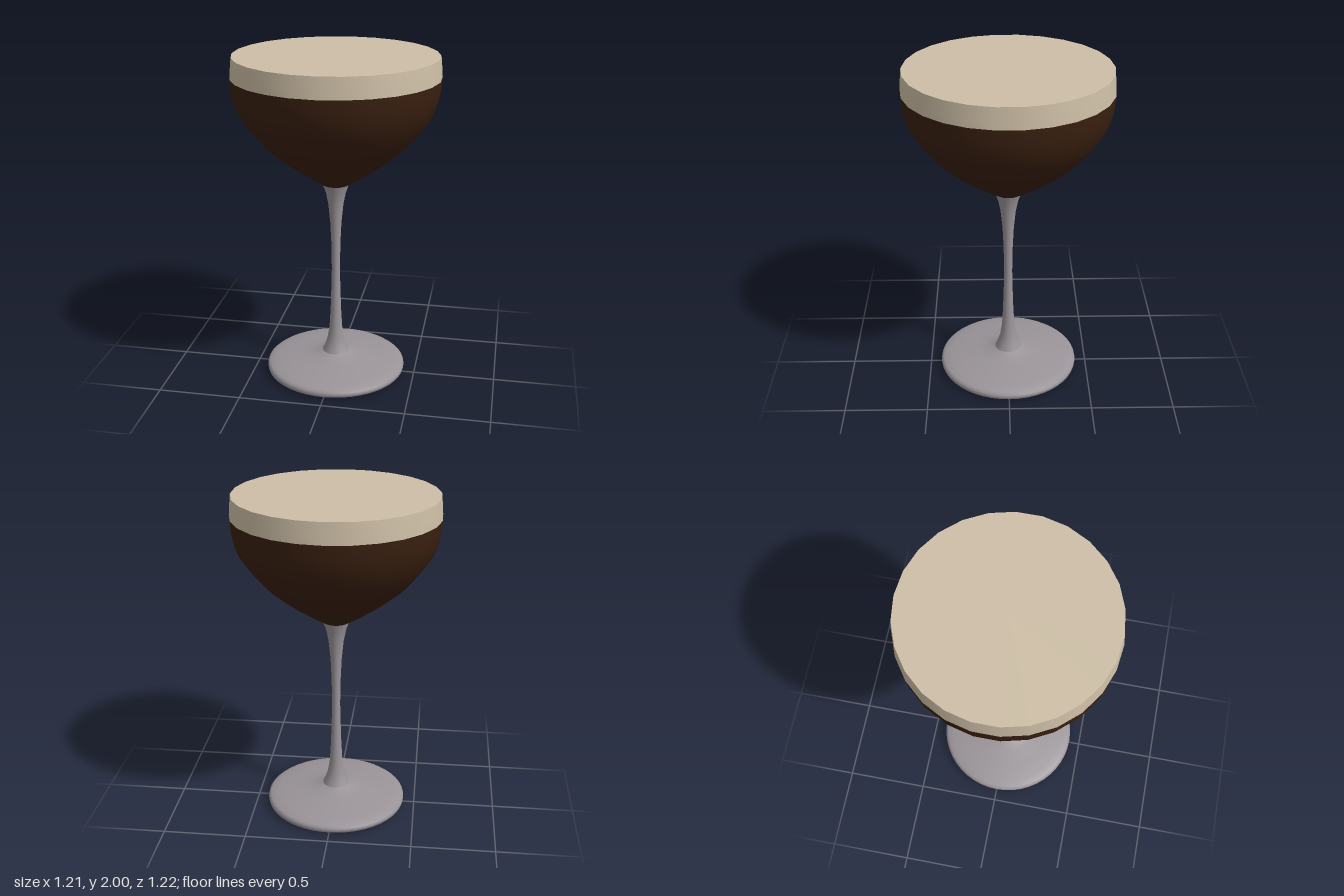
import * as THREE from 'three';

// Smooth revolved part from [radius, height] points, listed bottom to top
function revolve(name, points, color, segments) {
  const profile = points.map(([r, y]) => new THREE.Vector2(r, y));
  const mesh = new THREE.Mesh(
    new THREE.LatheGeometry(profile, segments),
    new THREE.MeshStandardMaterial({ color, side: THREE.DoubleSide })
  );
  mesh.name = name;
  return mesh;
}

export function createModel() {
  const group = new THREE.Group();
  group.name = 'cocktailGlass';
  const glass = 0x9a9498, drink = 0x3a2010, foam = 0xcdbea6;

  // Foot: slightly bulged underside, then rounded rim and sloping top
  group.add(revolve('footUnderside', [[0, 0], [0.17, 0.004], [0.418, 0.01]], glass, 48));
  group.add(revolve('foot', [
    [0.418, 0.01], [0.429, 0.016], [0.432, 0.03], [0.429, 0.045], [0.415, 0.056],
    [0.37, 0.068], [0.28, 0.082], [0.18, 0.094], [0.12, 0.106], [0.083, 0.122],
  ], glass, 48));

  // Stem: thin waist flaring at both ends
  group.add(revolve('stem', [
    [0.083, 0.122], [0.068, 0.155], [0.053, 0.2], [0.04, 0.28], [0.033, 0.4], [0.028, 0.55],
    [0.025, 0.68], [0.028, 0.85], [0.034, 0.98], [0.046, 1.1], [0.06, 1.17], [0.08, 1.228],
  ], glass, 32));

  // Bowl of dark drink
  group.add(revolve('drink', [
    [0, 1.222], [0.08, 1.225], [0.175, 1.285], [0.27, 1.35], [0.345, 1.41], [0.415, 1.47],
    [0.475, 1.535], [0.52, 1.595], [0.563, 1.66], [0.59, 1.73], [0.606, 1.8], [0.611, 1.878],
  ], drink, 26));

  // Foam band with a flat top
  group.add(revolve('foamSide', [[0.611, 1.878], [0.608, 1.92], [0.6, 2]], foam, 26));
  group.add(revolve('foamTop', [[0.6, 2], [0, 2]], foam, 26));

  return group;
}
